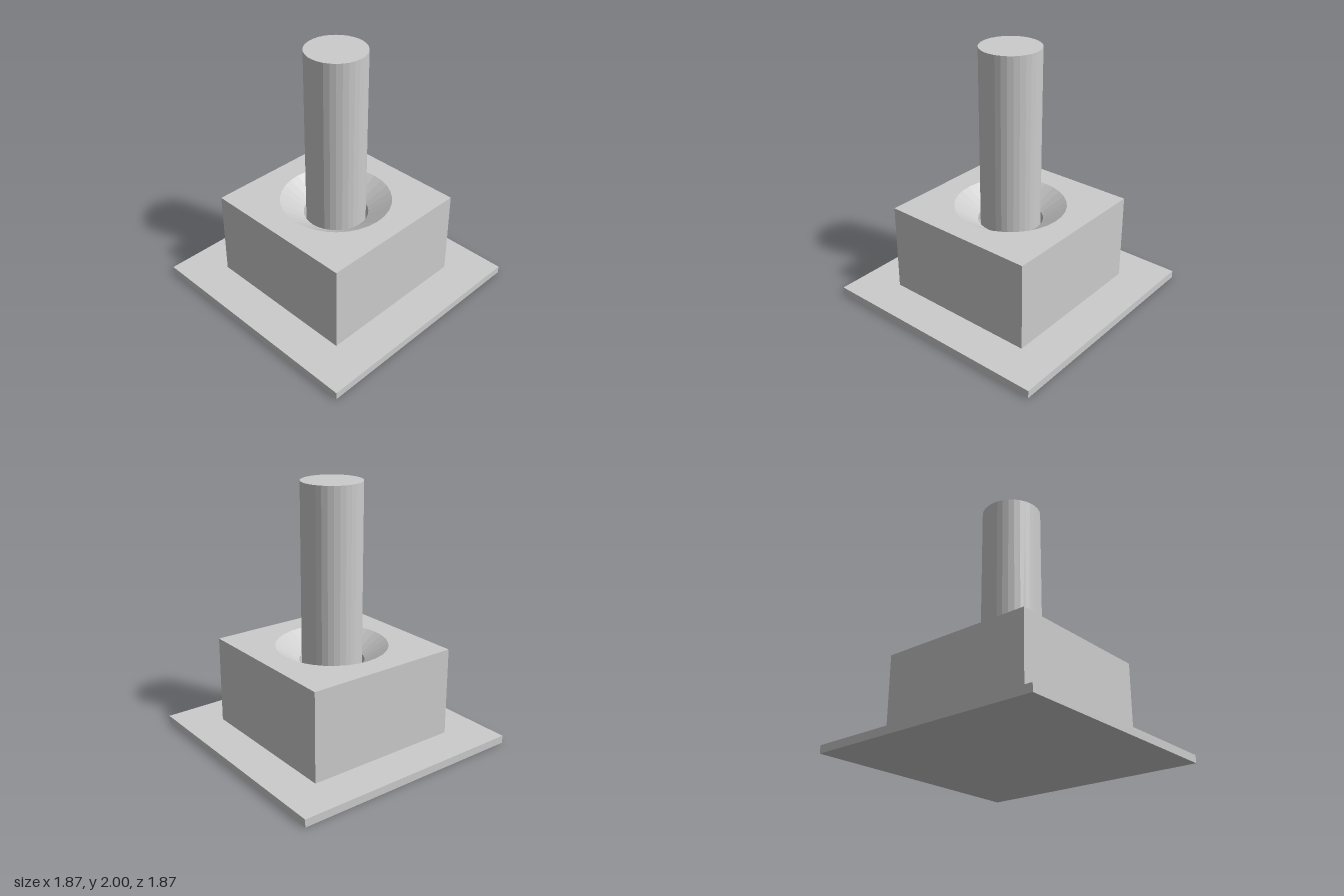
import * as THREE from 'three';

const SEGMENTS = 32;
const PLATE_TOP = 0.06, BLOCK_TOP = 0.75, BLOCK_HALF = 0.622;
const RIM_RADIUS = 0.43, BORE_RADIUS = 0.25, FUNNEL_BOTTOM = 0.63;

export function createModel() {
  const model = new THREE.Group();
  const grey = new THREE.MeshStandardMaterial({ color: 0xcccccc, flatShading: true });
  grey.name = 'light grey';

  const add = (name, geometry, parent = model) => {
    const mesh = new THREE.Mesh(geometry, grey);
    mesh.name = name;
    parent.add(mesh);
    return mesh;
  };

  // Thin square base
  add('basePlate', new THREE.BoxGeometry(1.868, PLATE_TOP, 1.868)).position.y = PLATE_TOP / 2;

  // Square block, open in the middle for the socket
  const block = new THREE.Group();
  block.name = 'block';
  model.add(block);

  const height = BLOCK_TOP - PLATE_TOP;
  for (let i = 0; i < 4; i++) {
    const wall = new THREE.PlaneGeometry(BLOCK_HALF * 2, height);
    wall.translate(0, PLATE_TOP + height / 2, BLOCK_HALF);
    wall.rotateY(i * Math.PI / 2);
    add('blockWall', wall, block);
  }

  const b = BLOCK_HALF;
  const top = new THREE.Shape([[-b, -b], [b, -b], [b, b], [-b, b]].map(([x, y]) => new THREE.Vector2(x, y)));
  top.holes.push(new THREE.Path().absarc(0, 0, RIM_RADIUS, 0, Math.PI * 2, true));
  const topFace = new THREE.ShapeGeometry(top, SEGMENTS / 2);
  topFace.rotateX(-Math.PI / 2).translate(0, BLOCK_TOP, 0);
  add('blockTop', topFace, block);

  // Countersunk socket: profile runs downward so its faces look inward
  const profile = [[RIM_RADIUS, BLOCK_TOP], [BORE_RADIUS, FUNNEL_BOTTOM], [BORE_RADIUS, PLATE_TOP]];
  add('socket', new THREE.LatheGeometry(profile.map(([r, y]) => new THREE.Vector2(r, y)), SEGMENTS), block);

  // Upright post standing in the socket
  const post = new THREE.CylinderGeometry(0.23, 0.23, 2 - PLATE_TOP, SEGMENTS);
  add('post', post).position.y = (2 + PLATE_TOP) / 2;

  return model;
}
